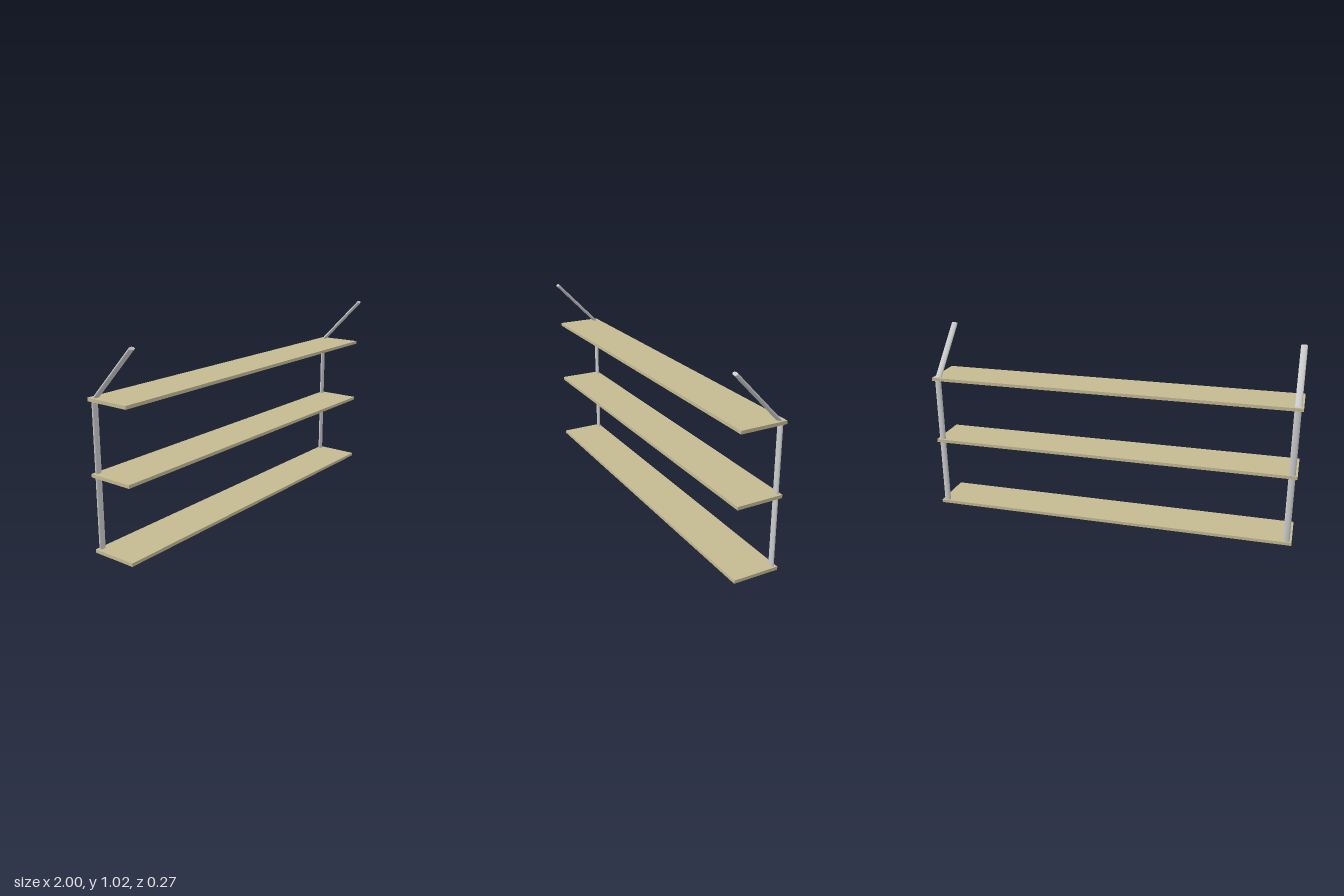
import * as THREE from 'three';

export function createModel() {
  const group = new THREE.Group();
  const wood = new THREE.MeshStandardMaterial({ color: 0xc4ba92 });
  const metal = new THREE.MeshStandardMaterial({ color: 0xcccccc });

  // Three long, thin shelves
  const shelves = [['bottomShelf', 0.009], ['middleShelf', 0.389], ['topShelf', 0.7525]];
  for (const [name, y] of shelves) {
    const shelf = new THREE.Mesh(new THREE.BoxGeometry(2, 0.017, 0.244), wood);
    shelf.name = name;
    shelf.position.set(0, y, -0.015);
    group.add(shelf);
  }

  // Oval rod between two (y, z) points
  const up = new THREE.Vector3(0, 1, 0);
  function rod(name, x, y0, z0, y1, z1) {
    const a = new THREE.Vector3(x, y0, z0);
    const b = new THREE.Vector3(x, y1, z1);
    const dir = b.clone().sub(a);
    const geo = new THREE.CylinderGeometry(1, 1, dir.length(), 32);
    geo.scale(0.0175, 1, 0.009);
    const mesh = new THREE.Mesh(geo, metal);
    mesh.name = name;
    mesh.position.copy(a).add(b).multiplyScalar(0.5);
    mesh.quaternion.setFromUnitVectors(up, dir.normalize());
    group.add(mesh);
  }

  // Rear posts, and arms leaning forward from the top shelf
  for (const [side, x] of [['left', 0.972], ['right', -0.972]]) {
    rod(side + 'Post', x, 0.005, -0.121, 0.762, -0.121);
    rod(side + 'Arm', x, 0.752, -0.119, 1.011, 0.131);
  }
  return group;
}
